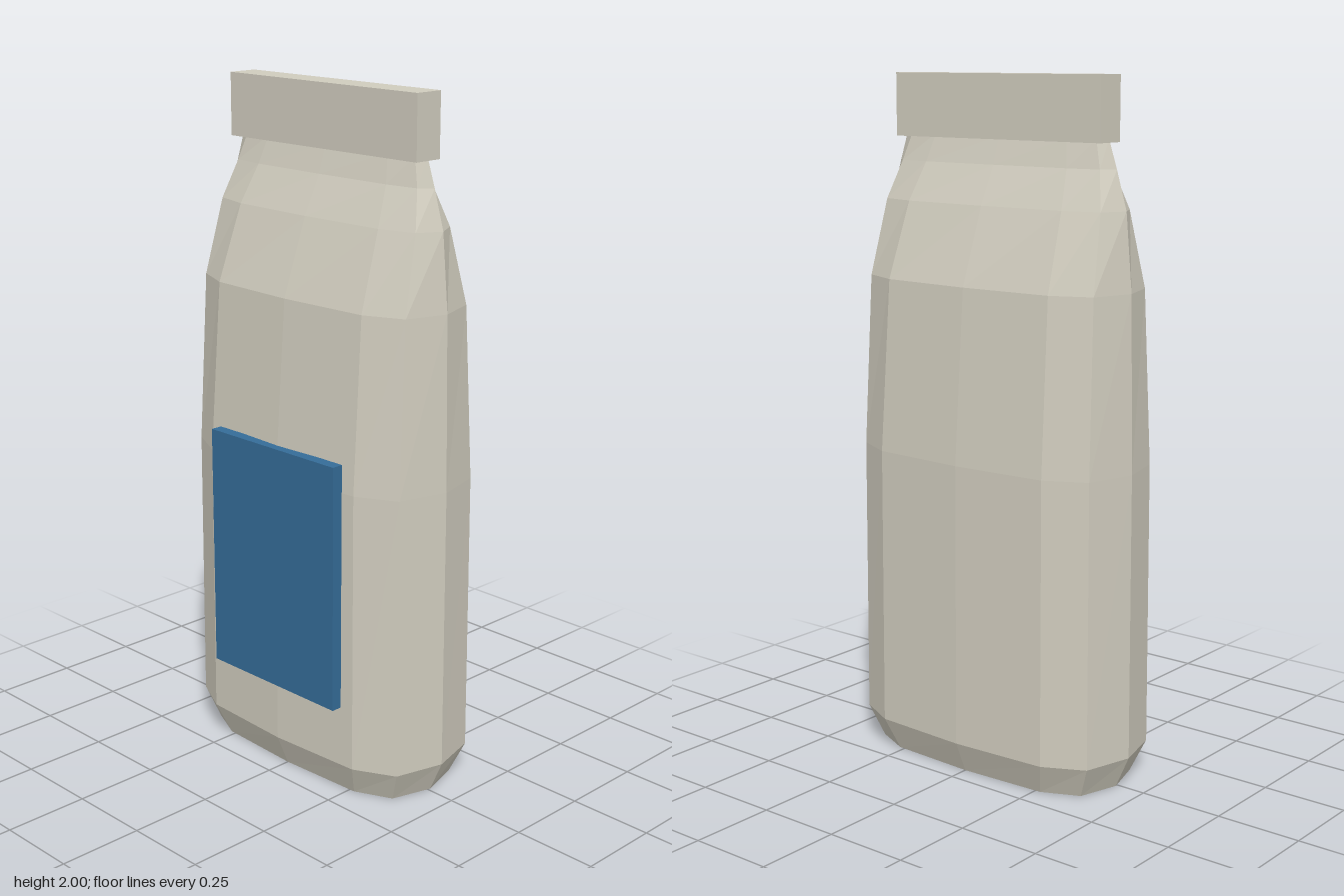
import * as THREE from 'three';

const paper = new THREE.MeshStandardMaterial({ color: 0xd0ccbe });
paper.name = 'warm grey paper';
const blue = new THREE.MeshStandardMaterial({ color: 0x356c98 });
blue.name = 'label blue';

// Unit outline of the bag, counter-clockwise seen from below (x, z)
const quarter = [[1, 0], [0.912, 0.66], [0.65, 0.93], [0, 1]];
const outline = [
  ...quarter,
  ...quarter.slice(0, 3).reverse().map(([x, z]) => [-x, z]),
  ...quarter.slice(1).map(([x, z]) => [-x, -z]),
  ...quarter.slice(1, 3).reverse().map(([x, z]) => [x, -z]),
];

// Rings up the bag: height, half width, half depth
const rings = [
  [0, 0.41, 0.182], [0.095, 0.453, 0.222], [0.92, 0.45, 0.219], [1.42, 0.44, 0.182],
  [1.64, 0.42, 0.102], [1.75, 0.387, 0.047], [1.83, 0.36, 0.022],
];
const bagZ = -0.008;

function bagGeometry() {
  const pos = [], index = [], n = outline.length;
  for (const [y, w, d] of rings)
    for (const [x, z] of outline) pos.push(x * w, y, z * d + bagZ);
  for (let r = 0; r < rings.length - 1; r++)
    for (let i = 0; i < n; i++) {
      const a = r * n + i, b = r * n + (i + 1) % n;
      index.push(a, a + n, b, b, a + n, b + n);
    }
  // Flat caps at the bottom and the neck
  const top = (rings.length - 1) * n;
  for (let i = 1; i < n - 1; i++) {
    index.push(0, i, i + 1);
    index.push(top, top + i + 1, top + i);
  }
  const g = new THREE.BufferGeometry();
  g.setAttribute('position', new THREE.Float32BufferAttribute(pos, 3));
  g.setIndex(index);
  const flat = g.toNonIndexed();
  flat.computeVertexNormals();
  return flat;
}

export function createModel() {
  const group = new THREE.Group();
  group.name = 'paperBag';
  const add = (name, geometry, material, x = 0, y = 0, z = 0) => {
    const mesh = new THREE.Mesh(geometry, material);
    mesh.name = name;
    mesh.position.set(x, y, z);
    group.add(mesh);
  };

  add('bagBody', bagGeometry(), paper);
  // Folded strip closing the top
  add('foldedTop', new THREE.BoxGeometry(0.726, 0.18, 0.09), paper, 0, 1.91, -0.007);
  // Blank label on the front
  add('label', new THREE.BoxGeometry(0.5, 0.726, 0.035), blue, 0, 0.638, 0.2145);
  return group;
}
